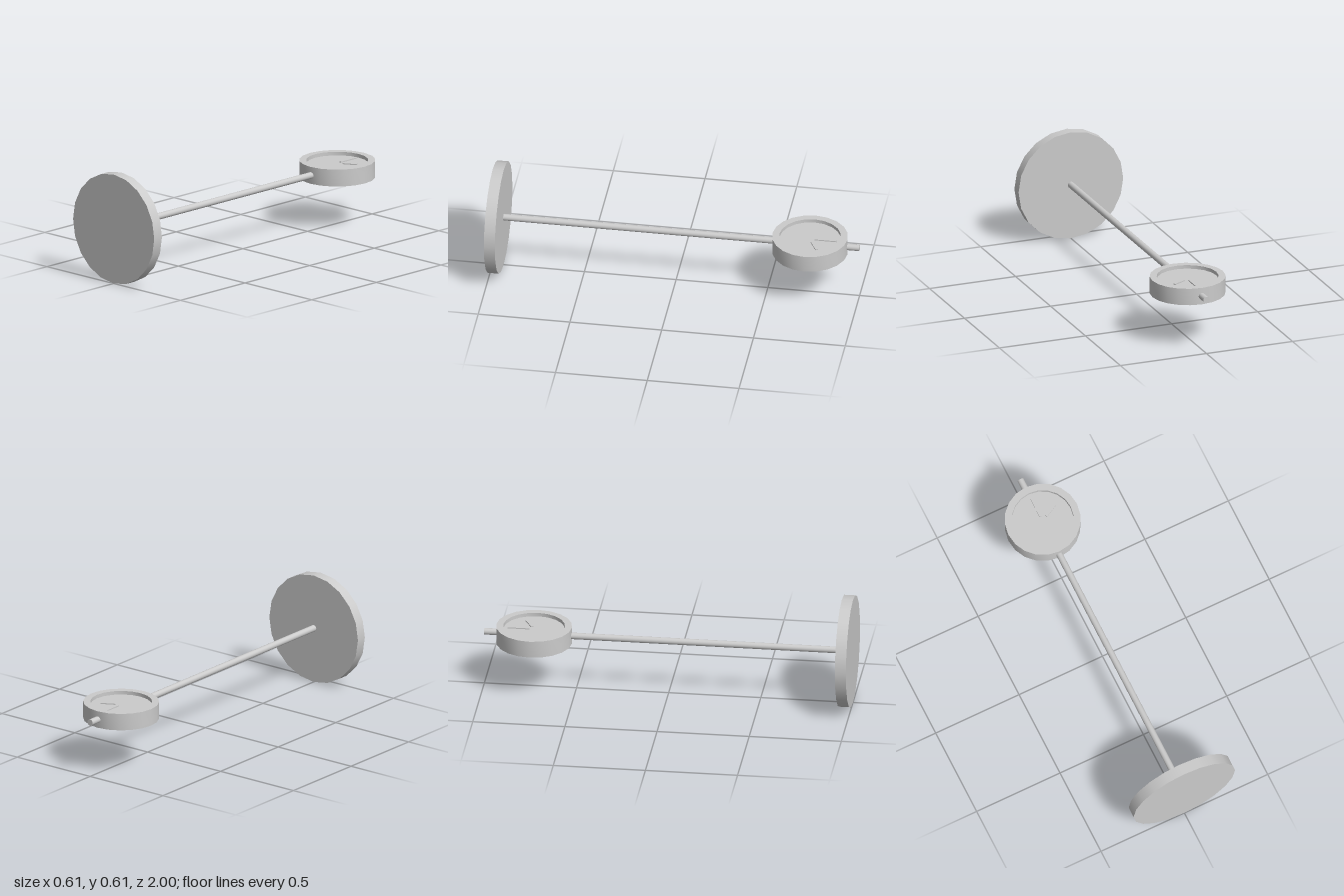
import * as THREE from 'three';
import { toCreasedNormals } from 'three/addons/utils/BufferGeometryUtils.js';

const AXIS_Y = 0.304;
const material = new THREE.MeshStandardMaterial({ color: 0xcccccc });

function add(parent, name, geometry, x = 0, y = 0, z = 0) {
  const mesh = new THREE.Mesh(geometry, material);
  mesh.name = name;
  mesh.position.set(x, y, z);
  parent.add(mesh);
  return mesh;
}

export function createModel() {
  const model = new THREE.Group();
  model.name = 'poleClock';

  // Round base plate and the pole, both along z
  add(model, 'base', new THREE.CylinderGeometry(0.304, 0.304, 0.06, 20).rotateX(Math.PI / 2), 0, AXIS_Y, 0.97);
  add(model, 'pole', new THREE.CylinderGeometry(0.018, 0.018, 1.94, 20).rotateX(Math.PI / 2), 0, AXIS_Y + 0.003, -0.03);

  // Two-sided clock head, facing up and down
  const clock = new THREE.Group();
  clock.name = 'clock';
  clock.position.set(0, AXIS_Y + 0.003, -0.73);
  model.add(clock);

  // Case with a recessed dial on both sides
  const half = 0.047, dial = 0.027, outer = 0.205, inner = 0.167;
  const profile = [
    [0, -dial], [inner, -dial], [inner, -half], [outer, -half],
    [outer, half], [inner, half], [inner, dial], [0, dial],
  ].map(([r, y]) => new THREE.Vector2(r, y));
  add(clock, 'case', toCreasedNormals(new THREE.LatheGeometry(profile, 20), Math.PI / 6));

  // Hands on each dial: the long one points to -z, the short one to its side
  for (const side of [1, -1]) {
    const y = side * (dial + 0.003);
    add(clock, 'minuteHand', new THREE.BoxGeometry(0.012, 0.006, 0.12), 0, y, -0.085);
    const hour = add(clock, 'hourHand', new THREE.BoxGeometry(0.08, 0.006, 0.014), 0.063, y, -0.033);
    hour.rotation.y = THREE.MathUtils.degToRad(28);
  }
  return model;
}
